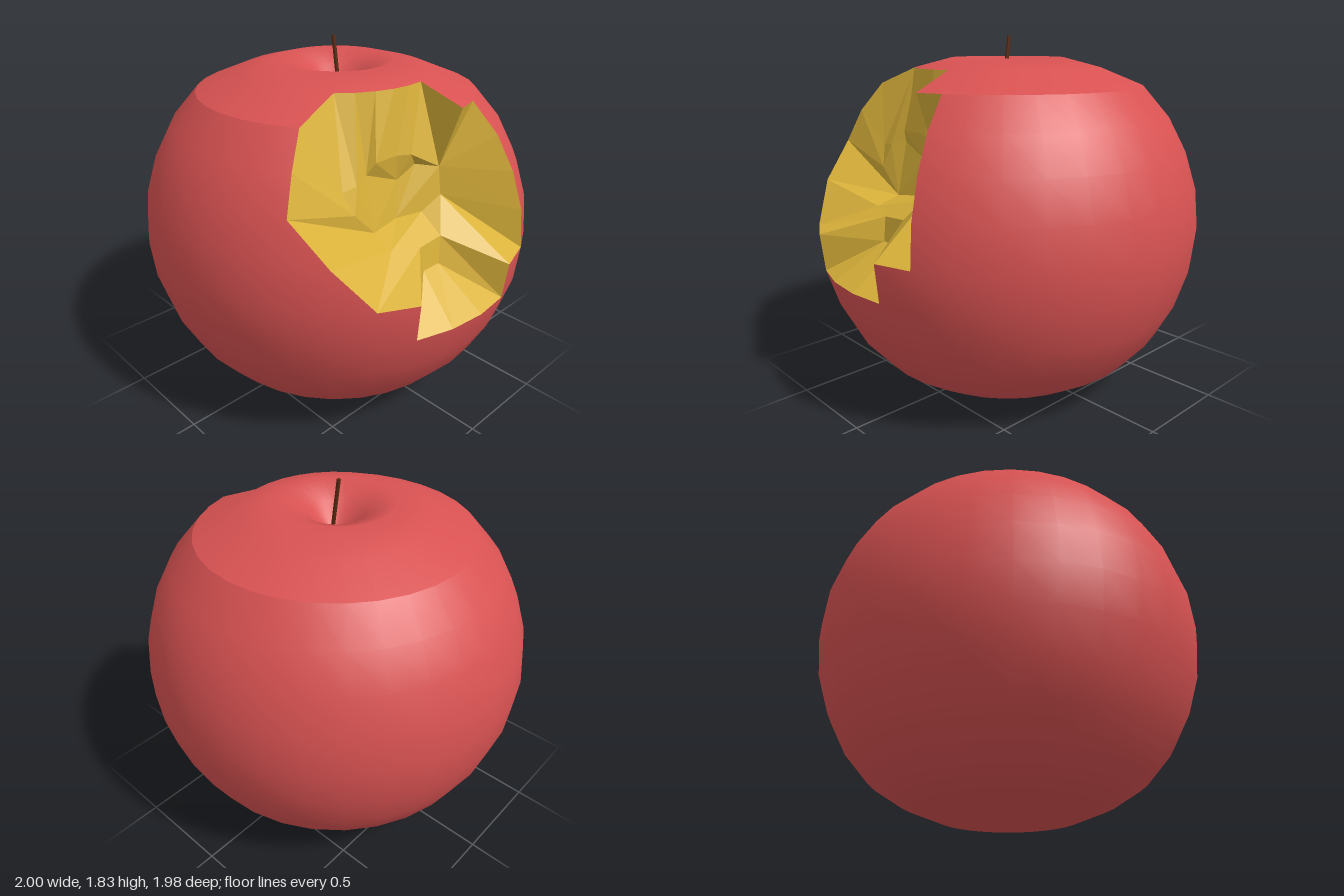
import * as THREE from 'three';

const SIDES = 32;
const STEP = (Math.PI * 2) / SIDES;

// Profiles from the bottom upwards: [radius, height]
const BODY = [[0, 0.13], [0.19, 0.06], [0.36, 0], [0.55, 0.075], [0.7, 0.17], [0.83, 0.32], [0.92, 0.49],
  [0.98, 0.68], [1, 0.87], [0.98, 1.07], [0.92, 1.26], [0.83, 1.43], [0.7, 1.58]];
const CAP = [[0.7, 1.58], [0.48, 1.67], [0.29, 1.72], [0.14, 1.66], [0, 1.5]];

// Columns bitten away per profile row: [left at bottom, left at top, right]
const BODY_BITE = { 7: [-2, -2, 1], 8: [-3, -4, 2], 9: [-4, -5, 2], 10: [-5, -5, 2], 11: [-5, -5, 2] };
const CAP_BITE = { 0: [-5, -4, 1] };

// Smooth lathe with the bitten cells left out
function skin(profile, bite, material, name) {
  const geo = new THREE.LatheGeometry(profile.map(([r, y]) => new THREE.Vector2(r, y)), SIDES, -Math.PI);
  const n = profile.length;
  const index = [];
  for (let i = 0; i < SIDES; i++) {
    for (let j = 0; j < n - 1; j++) {
      const a = i * n + j, b = a + n, c = b + 1, d = a + 1;
      const k = i - SIDES / 2;
      const row = bite[j];
      if (row) {
        const [low, high, right] = row;
        if (k >= Math.max(low, high) && k < right) continue;
        if (low !== high && k === Math.min(low, high)) {
          index.push(a, low > high ? b : c, d);
          continue;
        }
      }
      index.push(a, b, d, c, d, b);
    }
  }
  geo.setIndex(index);
  const mesh = new THREE.Mesh(geo, material);
  mesh.name = name;
  return mesh;
}

// Rim of the bite, counter-clockwise: [column, profile point, inner point it joins]
const [r68, r87, r107, r126, r143, r158] = BODY.slice(7);
const r167 = CAP[1];
const RIM = [
  [-2, r68, 'R'], [-1, r68, 'R'], [0, r68, 'S'], [1, r68, 'S'], [1, r87, 'Q'],
  [2, r87, 'N'], [2, r107, 'N'], [2, r126, 'H'], [2, r143, 'H'], [2, r158, 'H'],
  [1, r158, 'H'], [1, r167, 'H'], [0, r167, 'F'], [-1, r167, 'E'], [-2, r167, 'D'],
  [-3, r167, 'C'], [-4, r167, 'B'], [-5, r158, 'A'], [-5, r143, 'A'], [-5, r126, 'J'],
  [-4, r107, 'K'], [-3, r87, 'O'], [-2, r87, 'P'],
];

// Corners of the broken flesh inside the bite
const INNER = {
  A: [-0.43, 1.27, 0.49], B: [-0.35, 1.28, 0.5], C: [-0.26, 1.3, 0.47], D: [-0.23, 1.36, 0.5],
  E: [-0.1, 1.365, 0.51], F: [-0.02, 1.355, 0.53], G: [0.03, 1.29, 0.51], H: [0.13, 1.27, 0.58],
  I: [-0.07, 1.23, 0.49], J: [-0.39, 1.16, 0.53], K: [-0.26, 1.03, 0.53], L: [-0.1, 1.05, 0.52],
  M: [0.03, 1.06, 0.57], N: [0.13, 1.13, 0.6], O: [-0.27, 0.99, 0.65], P: [-0.13, 0.97, 0.7],
  Q: [0.02, 0.98, 0.7], R: [-0.12, 0.85, 0.72], S: [-0.01, 0.85, 0.72],
};
const FACETS = ['RSQP', 'OPQMLK', 'QNM', 'KLICBJ', 'JBA', 'LMNHGI', 'IGFEDC', 'GHF'];

function biteFlesh(material) {
  const pos = [];
  const tri = (a, b, c) => {
    if (a !== b && b !== c && a !== c) pos.push(...a, ...b, ...c);
  };
  const rimPoint = ([k, [r, y]]) => [r * Math.sin(k * STEP), y, r * Math.cos(k * STEP)];
  const rim = RIM.map(rimPoint);
  // sloping sides from the rim inwards
  RIM.forEach((entry, i) => {
    const next = (i + 1) % RIM.length;
    const p = INNER[entry[2]], q = INNER[RIM[next][2]];
    tri(rim[i], rim[next], q);
    tri(rim[i], q, p);
  });
  // chunky middle
  for (const facet of FACETS) {
    const pts = [...facet].map((key) => INNER[key]);
    for (let i = 1; i < pts.length - 1; i++) tri(pts[0], pts[i], pts[i + 1]);
  }
  const geo = new THREE.BufferGeometry();
  geo.setAttribute('position', new THREE.Float32BufferAttribute(pos, 3));
  geo.computeVertexNormals();
  const mesh = new THREE.Mesh(geo, material);
  mesh.name = 'biteFlesh';
  return mesh;
}

export function createModel() {
  const group = new THREE.Group();
  group.name = 'bittenApple';
  const red = new THREE.MeshStandardMaterial({ color: 0xd95252, side: THREE.DoubleSide });
  const yellow = new THREE.MeshStandardMaterial({ color: 0xdab23a, flatShading: true, side: THREE.DoubleSide });
  const brown = new THREE.MeshStandardMaterial({ color: 0x5a2a12 });

  group.add(skin(BODY, BODY_BITE, red, 'appleBody'));
  group.add(skin(CAP, CAP_BITE, red, 'appleTop'));
  group.add(biteFlesh(yellow));

  // Stem leaning slightly backwards
  const stem = new THREE.Mesh(new THREE.CylinderGeometry(0.01, 0.01, 0.35, 8), brown);
  stem.name = 'stem';
  stem.position.set(-0.003, 1.655, 0.012);
  stem.rotation.x = -0.15;
  group.add(stem);
  return group;
}
